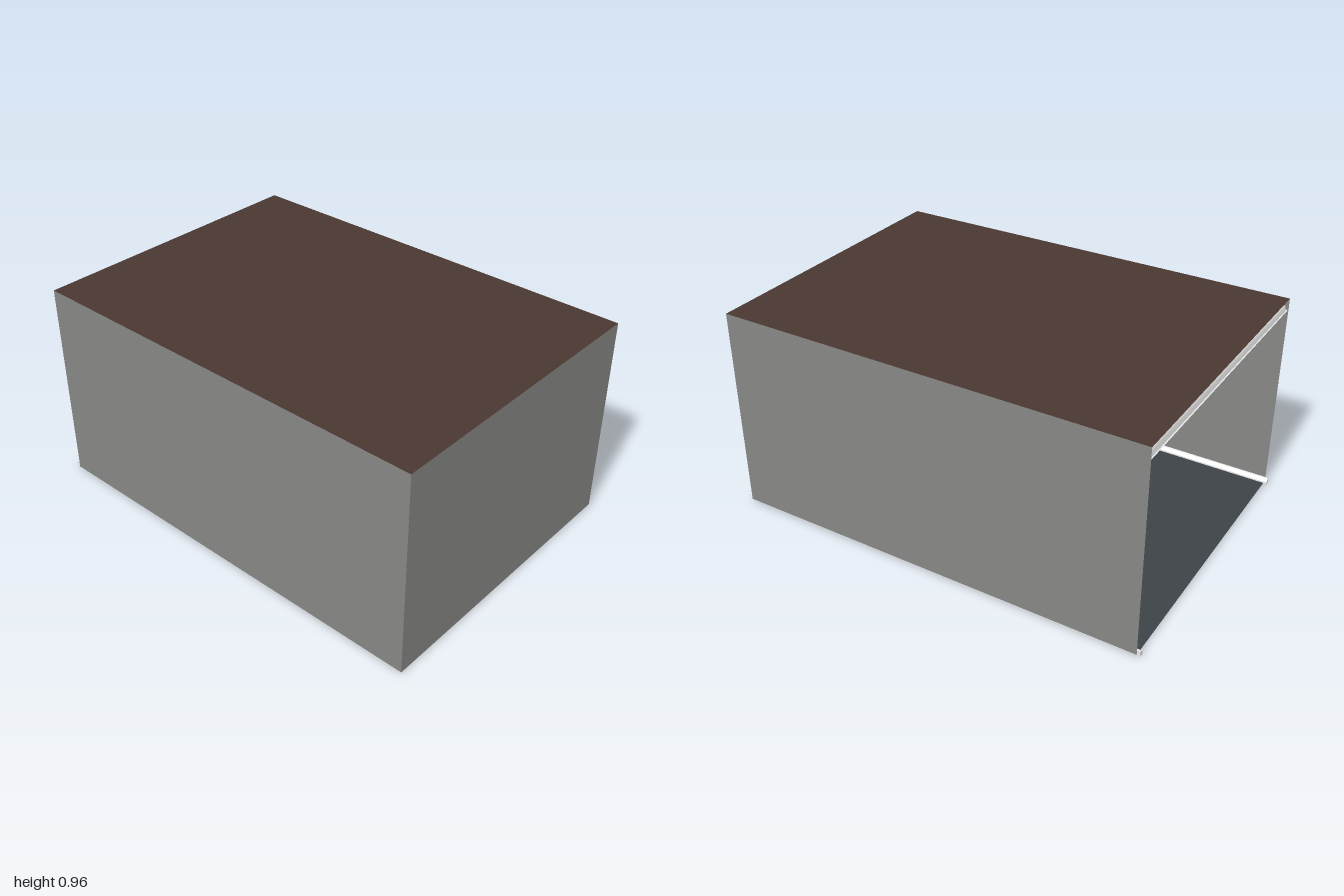
import * as THREE from 'three';
import { toCreasedNormals } from 'three/addons/utils/BufferGeometryUtils.js';

const HALF_W = 0.693, FRONT = 1, BACK = -0.985, FLOOR = 0.005, CEILING = 0.965;
const DEPTH = FRONT - BACK, MID_Z = (FRONT + BACK) / 2, HEIGHT = CEILING - FLOOR;

function material(name, color) {
  const m = new THREE.MeshStandardMaterial({ color, side: THREE.DoubleSide });
  m.name = name;
  return m;
}

// Sweeps a profile of [inset, y] points through the stations, which place each point
function sweep(profile, stations) {
  const pos = [];
  for (let s = 0; s + 1 < stations.length; s++) {
    for (let i = 0; i + 1 < profile.length; i++) {
      const a = stations[s](profile[i]), b = stations[s + 1](profile[i]);
      const c = stations[s + 1](profile[i + 1]), d = stations[s](profile[i + 1]);
      pos.push(...a, ...b, ...c, ...a, ...c, ...d);
    }
  }
  const geo = new THREE.BufferGeometry();
  geo.setAttribute('position', new THREE.Float32BufferAttribute(pos, 3));
  geo.computeVertexNormals();
  return toCreasedNormals(geo, 0.6);
}

// Mitred corners of the room
const corner = (sx, sz) => ([d, y]) => [sx * (HALF_W - d), y, sz > 0 ? FRONT - d : BACK + d];
// Square ends at the open back
const openEnd = (sx) => ([d, y]) => [sx * (HALF_W - d), y, -1];

export function createModel() {
  const group = new THREE.Group();
  const wall = material('wall grey', 0x868684);
  const roof = material('ceiling brown', 0x4a3830);
  const ground = material('floor slate', 0x3c4246);
  const trim = material('trim white', 0xe8e8e8);

  function add(name, geo, mat) {
    const mesh = new THREE.Mesh(geo, mat);
    mesh.name = name;
    group.add(mesh);
    return mesh;
  }

  // Floor and ceiling
  for (const [name, y, mat] of [['floor', FLOOR, ground], ['ceiling', CEILING, roof]]) {
    const geo = new THREE.PlaneGeometry(2 * HALF_W, DEPTH).rotateX(-Math.PI / 2);
    add(name, geo, mat).position.set(0, y, MID_Z);
  }

  // Front wall and two side walls; the back is open
  const midY = (FLOOR + CEILING) / 2;
  add('frontWall', new THREE.PlaneGeometry(2 * HALF_W, HEIGHT), wall).position.set(0, midY, FRONT);
  for (const [name, sx] of [['leftWall', 1], ['rightWall', -1]]) {
    const geo = new THREE.PlaneGeometry(DEPTH, HEIGHT).rotateY(sx * Math.PI / 2);
    add(name, geo, wall).position.set(sx * HALF_W, midY, MID_Z);
  }

  // Skirting along the three walls
  const skirt = [[0.002, 0], [0.022, 0], [0.022, 0.012], [0.016, 0.02], [0.01, 0.028], [0.002, 0.028], [0.002, 0]];
  add('skirting', sweep(skirt, [openEnd(1), corner(1, 1), corner(-1, 1), openEnd(-1)]), trim);
  const capShape = new THREE.Shape(skirt.slice(0, -1).map(([d, y]) => new THREE.Vector2(HALF_W - d, y)));
  for (const sx of [1, -1]) {
    add('skirtingEnd', new THREE.ShapeGeometry(capShape).scale(sx, 1, 1), trim).position.z = -1;
  }

  // Coved cornice around all four sides of the ceiling
  const cove = [[0.002, CEILING - 0.055], [0.008, CEILING - 0.055]];
  for (let i = 0; i <= 6; i++) {
    const t = (i / 6) * Math.PI / 2;
    cove.push([0.048 - 0.038 * Math.cos(t), CEILING - 0.048 + 0.038 * Math.sin(t)]);
  }
  cove.push([0.052, CEILING - 0.008], [0.052, CEILING - 0.001]);
  const ring = [corner(1, -1), corner(1, 1), corner(-1, 1), corner(-1, -1), corner(1, -1)];
  add('cornice', sweep(cove, ring), trim);

  return group;
}
